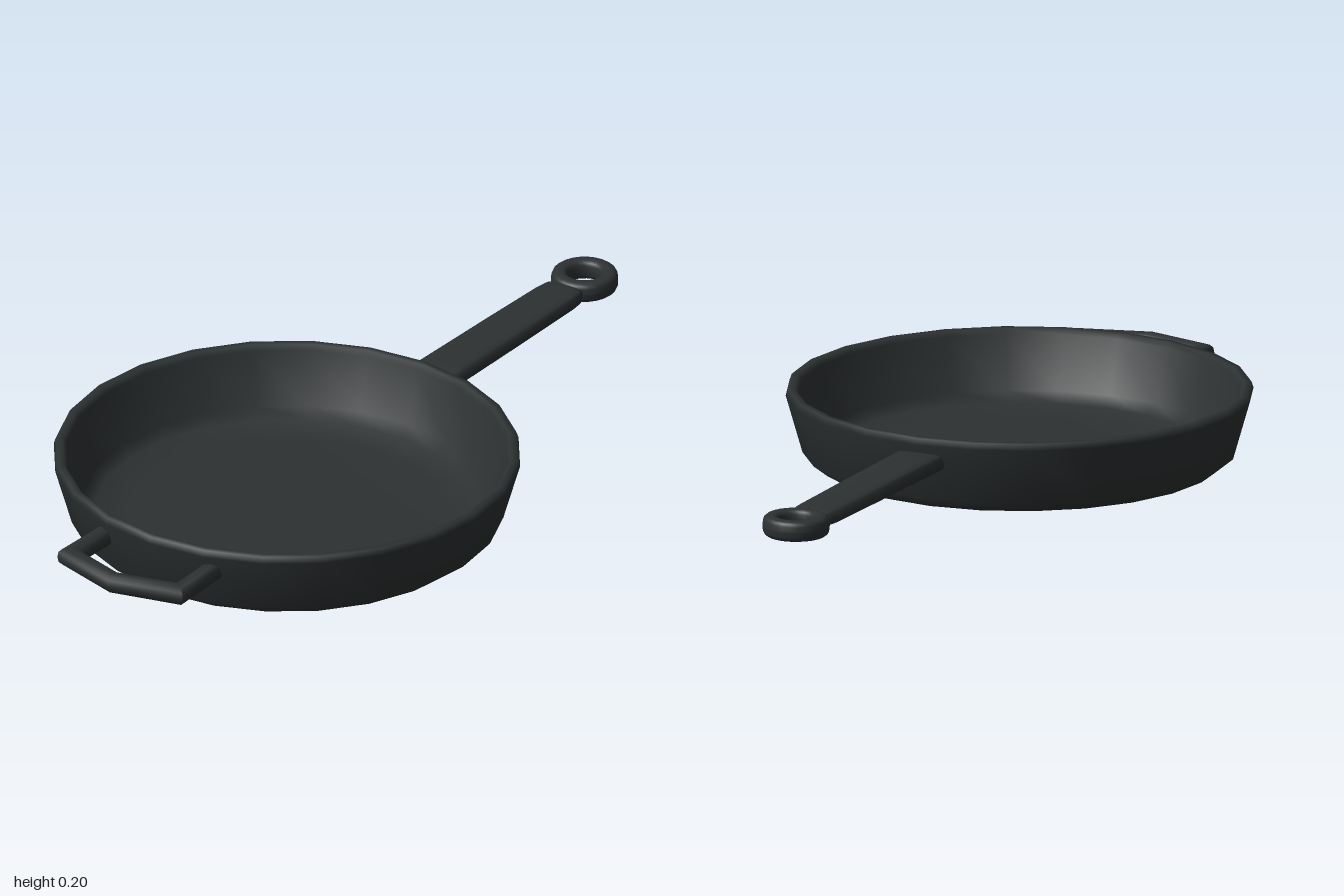
import * as THREE from 'three';
import { toCreasedNormals } from 'three/addons/utils/BufferGeometryUtils.js';

const MID_Y = 0.142; // height of both handles
const PAN_X = -0.278;

// Rounded-rectangle cross-section, counter-clockwise, spanning -1..1
function roundedSection(sides = 16, power = 0.55) {
  const soften = (v) => Math.sign(v) * Math.pow(Math.abs(v), power);
  return Array.from({ length: sides }, (_, i) => {
    const a = (i / sides) * Math.PI * 2;
    return [soften(Math.cos(a)), soften(Math.sin(a))];
  });
}

// Sweeps the section along a level path of [x, z, halfWidth, halfHeight], with mitred corners
function loft(path, section) {
  const up = new THREE.Vector3(0, 1, 0);
  const centres = path.map(([x, z]) => new THREE.Vector3(x, MID_Y, z));
  const n = section.length;
  const last = path.length - 1;
  const positions = [];
  const index = [];
  path.forEach(([, , halfW, halfH], i) => {
    const before = centres[Math.max(i - 1, 0)];
    const after = centres[Math.min(i + 1, last)];
    const dirIn = centres[i].clone().sub(before).normalize();
    const dirOut = after.clone().sub(centres[i]).normalize();
    const dir = dirIn.clone().add(dirOut).normalize();
    const mitre = 1 / dir.dot(i < last ? dirOut : dirIn);
    const side = up.clone().cross(dir).multiplyScalar(halfW * mitre);
    for (const [s, u] of section) {
      const p = centres[i].clone().addScaledVector(side, s).addScaledVector(up, halfH * u);
      positions.push(p.x, p.y, p.z);
    }
  });
  for (let i = 0; i < last; i++) {
    for (let j = 0; j < n; j++) {
      const a = i * n + j, b = i * n + (j + 1) % n;
      index.push(a, b, a + n, b, b + n, a + n);
    }
  }
  // End caps
  for (let j = 1; j < n - 1; j++) {
    index.push(0, j + 1, j);
    index.push(last * n, last * n + j, last * n + j + 1);
  }
  const geometry = new THREE.BufferGeometry();
  geometry.setAttribute('position', new THREE.Float32BufferAttribute(positions, 3));
  geometry.setIndex(index);
  geometry.computeVertexNormals();
  return geometry;
}

function lathe(points, sides) {
  return new THREE.LatheGeometry(points.map(([r, y]) => new THREE.Vector2(r, y)), sides);
}

export function createModel() {
  const group = new THREE.Group();
  group.name = 'fryingPan';
  const iron = new THREE.MeshStandardMaterial({ color: 0x2d3132 });

  function add(name, geometry, x = 0, y = 0) {
    const mesh = new THREE.Mesh(geometry, iron);
    mesh.name = name;
    mesh.position.set(x, y, 0);
    group.add(mesh);
  }

  // Pan body: underside, outer wall, rim, inner wall, cooking surface
  add('panBody', lathe([
    [0, 0], [0.39, 0.002], [0.48, 0.018], [0.515, 0.045], [0.555, 0.185], [0.55, 0.2],
    [0.533, 0.2], [0.525, 0.188], [0.485, 0.06], [0.455, 0.037], [0.38, 0.025], [0, 0.025],
  ], 24), PAN_X);

  // Long handle, rounded off beside the hanging ring
  add('longHandle', loft([
    [0.243, 0, 0.064, 0.023], [0.36, 0, 0.062, 0.023], [0.6, 0, 0.06, 0.022],
    [0.8, 0, 0.057, 0.021], [0.835, 0, 0.053, 0.02], [0.855, 0, 0.042, 0.014],
  ], roundedSection()));

  // Hanging ring
  const ring = roundedSection(16, 0.7).map(([s, u]) => [0.06 + 0.02 * s, 0.025 * u]);
  add('hangingRing', lathe([...ring, ring[0]], 24), 0.919, MID_Y);

  // Short helper handle: an angular loop opposite the long handle
  const bar = [0.023, 0.023];
  add('helperHandle', toCreasedNormals(loft([
    [-0.775, -0.155, ...bar], [-0.932, -0.16, ...bar], [-0.976, 0, ...bar],
    [-0.932, 0.16, ...bar], [-0.775, 0.155, ...bar],
  ], roundedSection(12, 0.75)), 0.8));

  return group;
}
